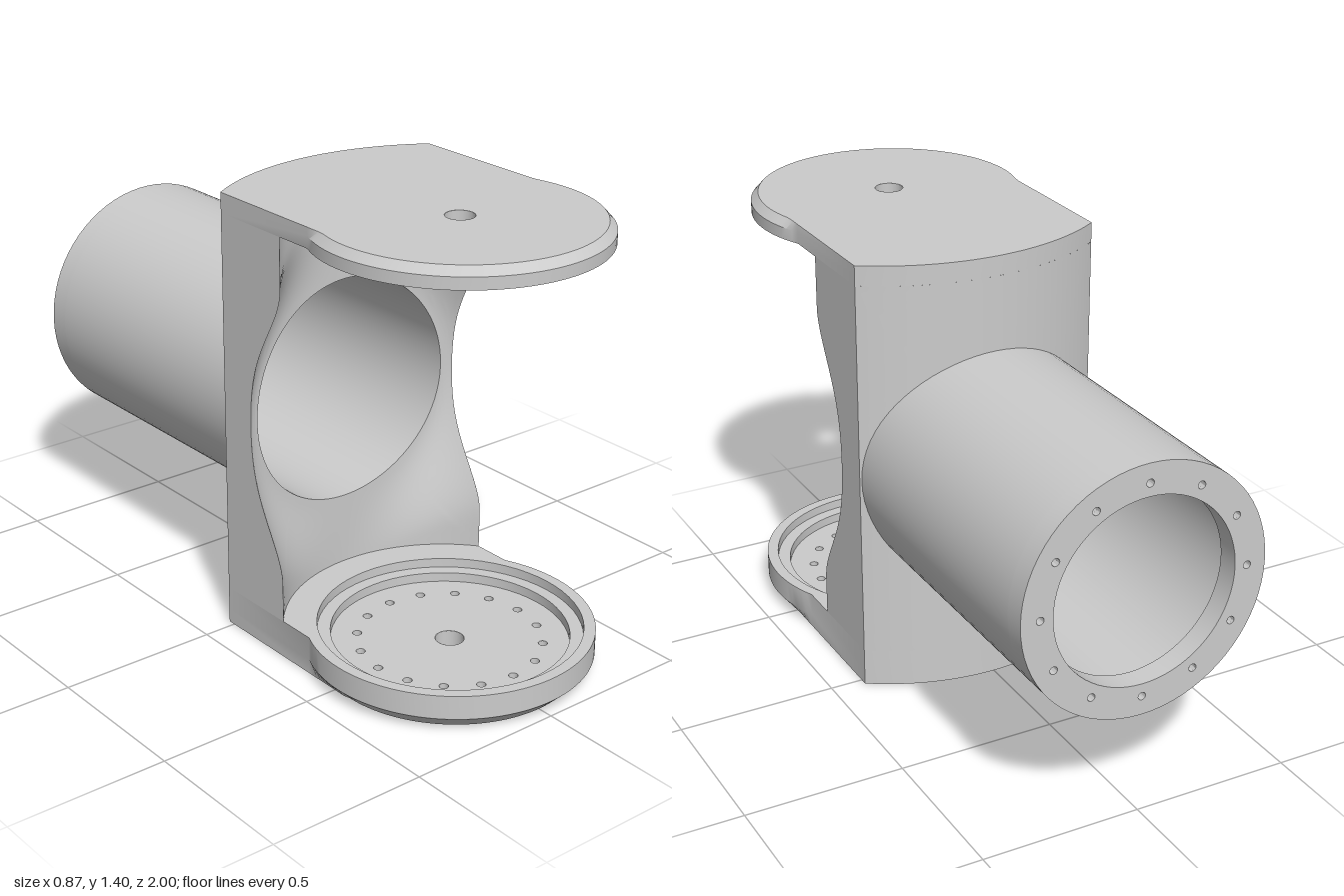
import * as THREE from 'three';
import { toCreasedNormals } from 'three/addons/utils/BufferGeometryUtils.js';

const W = 0.395, CZ = 0.56, CY = 0.71;       // half width, plate axis z, tube axis y
const R_BACK = 0.705, R_FRONT = 0.5;         // rear and front wall radii about the plate axis
const BORE = 0.36, TUBE = 0.39, Y0 = 0.12, Y1 = 1.335;
const mat = new THREE.MeshStandardMaterial({ color: 0xcccccc, side: THREE.DoubleSide });
const V = (x, y, z) => new THREE.Vector3(x, y, z);

function add(group, name, geo) {
  const mesh = new THREE.Mesh(geo, mat);
  mesh.name = name;
  group.add(mesh);
  return mesh;
}

// Skin through rows of points
function loft(rows, closed = false) {
  const n = rows[0].length, idx = [];
  const geo = new THREE.BufferGeometry().setFromPoints(rows.flat());
  for (let i = 0; i < rows.length - 1; i++) {
    for (let j = 0; j < (closed ? n : n - 1); j++) {
      const a = i * n + j, b = i * n + (j + 1) % n;
      idx.push(a, b, a + n, b, b + n, a + n);
    }
  }
  geo.setIndex(idx);
  geo.computeVertexNormals();
  return toCreasedNormals(geo, 0.6);
}

const backZ = (x) => CZ - Math.sqrt(R_BACK ** 2 - x * x);

// Concave front wall, easing into a nearly flat mouth around the bore
function frontZ(x, y) {
  const z = CZ - Math.sqrt(R_FRONT ** 2 - x * x);
  const mouth = 0.06 + 0.03 * (x / BORE) ** 2;
  const r = Math.hypot(x, y - CY);
  return z - (z - mouth) * (1 - THREE.MathUtils.smoothstep(r, BORE, 0.61));
}

// Points around the wall rectangle, corners included
function perimeter(n = 40) {
  const c = [[W, Y0], [W, Y1], [-W, Y1], [-W, Y0]], pts = [];
  c.forEach(([x, y], k) => {
    const [x2, y2] = c[(k + 1) % 4];
    for (let i = 0; i < n; i++) pts.push([x + (x2 - x) * i / n, y + (y2 - y) * i / n]);
  });
  return pts;
}

// Ring of points between a circle (t = 0) and the wall rectangle (t = 1)
function wallRow(r, t, zFn) {
  return perimeter().map(([px, py]) => {
    const d = Math.hypot(px, py - CY), k = (r + (d - r) * t) / d;
    const x = px * k, y = CY + (py - CY) * k;
    return V(x, y, zFn(x, y));
  });
}
function wall(r, zFn, steps = 14) {
  const rows = [];
  for (let i = 0; i <= steps; i++) rows.push(wallRow(r, i / steps, zFn));
  return loft(rows, true);
}

// Plate outline: curved rear, straight sides, round front of radius r
function outline(r) {
  const pts = [], a0 = Math.asin(W / R_BACK), t0 = Math.PI - Math.asin(W / 0.435);
  for (let i = 0; i <= 24; i++) {
    const a = a0 * (1 - i / 12);
    pts.push([R_BACK * Math.sin(a), CZ - R_BACK * Math.cos(a)]);
  }
  for (let i = 0; i <= 72; i++) {
    const t = t0 * (i / 36 - 1), behind = Math.cos(t) < 0;
    const x = r * Math.sin(t);
    const z = i % 72 === 0 ? CZ + 0.435 * Math.cos(t) : CZ + r * Math.cos(t);
    pts.push([behind ? Math.sign(x) * (i % 72 === 0 ? W : Math.max(Math.abs(x), W)) : x, z]);
  }
  return pts;
}

function circlePath(x, y, r, Type = THREE.Path) {
  return new Type().absarc(x, y, r, 0, Math.PI * 2);
}

// Flat horizontal face with round holes
function flat(shape, holes, y) {
  holes.forEach(([x, z, r]) => shape.holes.push(circlePath(x, z, r)));
  return new THREE.ShapeGeometry(shape, 32).rotateX(Math.PI / 2).translate(0, y, 0);
}

// levels: [y, front radius] from outer face to rim; recess: [radius, y] from rim to floor
function plate(name, levels, recess, holes) {
  const g = new THREE.Group();
  g.name = name;
  const rows = levels.map(([y, r]) => outline(r).map(([x, z]) => V(x, y, z)));
  add(g, name + 'Edge', loft(rows, true));
  const shapeOf = (r) => new THREE.Shape(outline(r).map(([x, z]) => new THREE.Vector2(x, z)));
  const [yOut, rOut] = levels[0], [yRim, rRim] = levels[levels.length - 1];
  const [rFloor, yFloor] = recess[recess.length - 1];
  add(g, name + 'OuterFace', flat(shapeOf(rOut), holes, yOut));
  add(g, name + 'RimFace', flat(shapeOf(rRim), [[0, CZ, recess[0][0]]], yRim));
  const profile = recess.map(([r, y]) => new THREE.Vector2(r, y));
  add(g, name + 'Recess', toCreasedNormals(new THREE.LatheGeometry(profile, 64), 0.6)).position.z = CZ;
  add(g, name + 'Floor', flat(circlePath(0, CZ, rFloor, THREE.Shape), holes, yFloor));
  holes.forEach(([x, z, r]) => {
    const bore = new THREE.CylinderGeometry(r, r, Math.abs(yFloor - yOut), 20, 1, true);
    add(g, name + 'Hole', bore).position.set(x, (yFloor + yOut) / 2, z);
  });
  return g;
}

export function createModel() {
  const model = new THREE.Group();
  model.name = 'bracket';

  // Upright body
  const body = new THREE.Group();
  body.name = 'body';
  add(body, 'frontWall', wall(BORE, frontZ));
  add(body, 'rearWall', wall(0.375, backZ));
  for (const s of [1, -1]) {
    const front = [], rear = [];
    for (let i = 0; i <= 80; i++) {
      const y = Y0 + (Y1 - Y0) * i / 80;
      front.push(V(s * W, y, frontZ(W, y)));
      rear.push(V(s * W, y, backZ(W)));
    }
    add(body, s > 0 ? 'leftSide' : 'rightSide', loft(s > 0 ? [front, rear] : [rear, front]));
  }
  model.add(body);

  // Rear tube with bolted end flange
  const tube = new THREE.Group();
  tube.name = 'tube';
  const flangeZ = -0.93;
  const outer = new THREE.CylinderGeometry(TUBE, TUBE, -flangeZ, 72, 1, true).rotateX(Math.PI / 2);
  add(tube, 'tubeOuter', outer).position.set(0, CY, flangeZ / 2);
  add(tube, 'tubeBore', loft([wallRow(BORE, 0, frontZ), wallRow(BORE, 0, () => flangeZ)], true));
  const ring = circlePath(0, 0, TUBE, THREE.Shape);
  ring.holes.push(circlePath(0, 0, 0.29));
  for (let i = 0; i < 12; i++) {
    const a = i * Math.PI / 6;
    ring.holes.push(circlePath(0.33 * Math.cos(a), 0.33 * Math.sin(a), 0.012));
  }
  const flange = new THREE.ExtrudeGeometry(ring, { depth: 1 + flangeZ, bevelEnabled: false, curveSegments: 36 });
  add(tube, 'endFlange', toCreasedNormals(flange, 0.6)).position.set(0, CY, -1);
  model.add(tube);

  // Lower plate with a ring of screw holes, upper plate with an axle hole
  const axle = [0, CZ, 0.044], lowerHoles = [axle];
  for (let i = 0; i < 16; i++) {
    const a = i * Math.PI / 8;
    lowerHoles.push([0.28 * Math.cos(a), CZ + 0.28 * Math.sin(a), 0.014]);
  }
  model.add(plate('lowerPlate', [[0, 0.39], [0.045, 0.435], [Y0, 0.435]],
    [[0.4, Y0], [0.4, 0.09], [0.36, 0.09], [0.36, 0.06]], lowerHoles));
  model.add(plate('upperPlate', [[1.397, 0.412], [1.372, 0.435], [Y1, 0.435]],
    [[0.4, Y1], [0.4, 1.35], [0.36, 1.35], [0.36, 1.367]], [axle]));
  return model;
}
